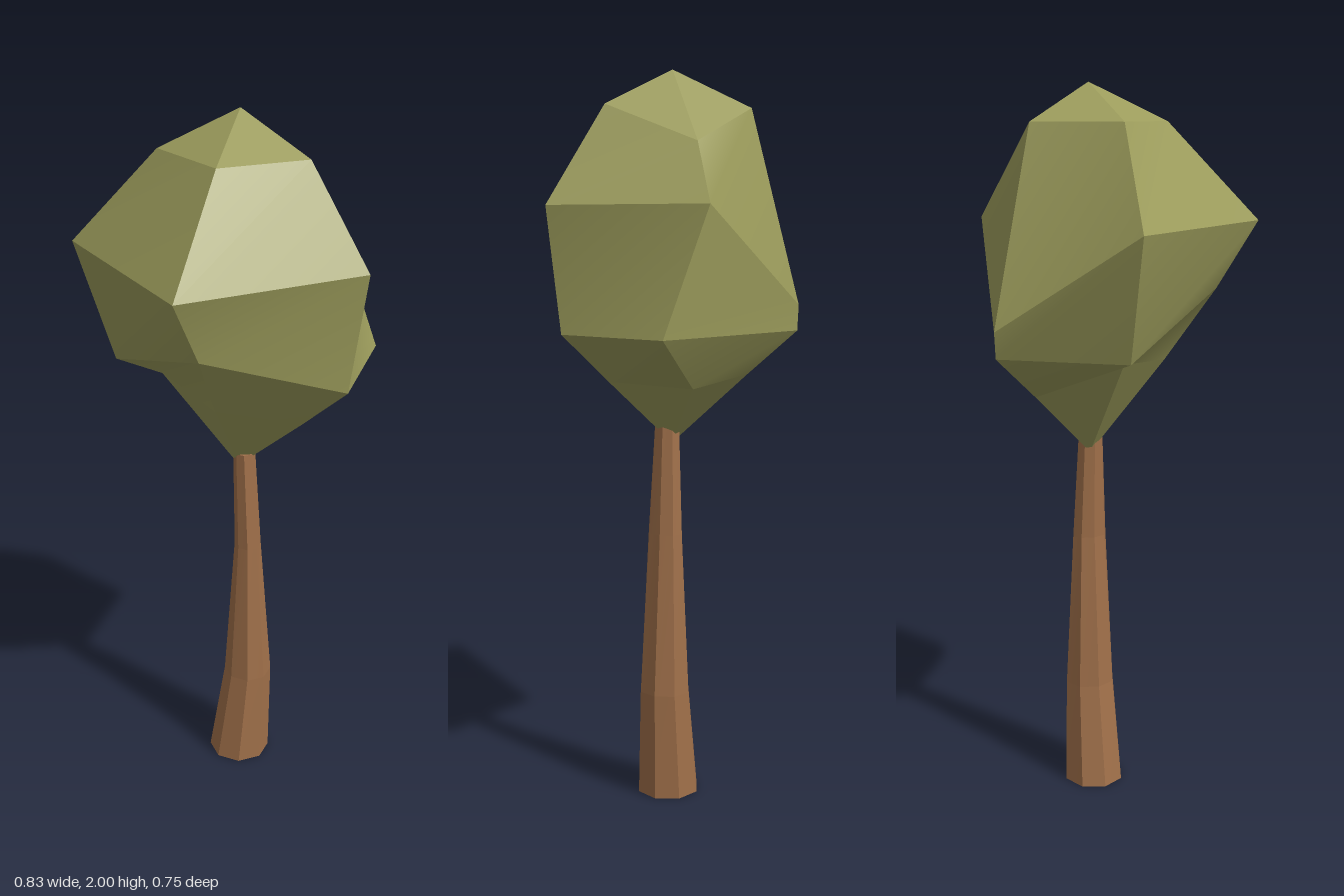
import * as THREE from 'three';

// Skins a stack of rings (top to bottom). Each facet owns its corners, so the
// edges between facets stay sharp while a bent facet shades softly.
function loft(rings) {
  const positions = [], index = [];
  for (let i = 0; i < rings.length - 1; i++) {
    const upper = rings[i], lower = rings[i + 1], n = upper.length;
    for (let j = 0; j < n; j++) {
      const k = (j + 1) % n;
      const base = positions.length / 3;
      positions.push(...upper[j], ...lower[j], ...lower[k], ...upper[k]);
      // a ring collapsed to one point needs only one triangle per facet
      if (upper[j] !== upper[k]) index.push(base, base + 1, base + 3);
      if (lower[j] !== lower[k]) index.push(base + 1, base + 2, base + 3);
    }
  }
  const geometry = new THREE.BufferGeometry();
  geometry.setAttribute('position', new THREE.Float32BufferAttribute(positions, 3));
  geometry.setIndex(index);
  geometry.computeVertexNormals();
  return geometry;
}

const pole = (point, sides) => Array(sides).fill(point);

function part(name, geometry, color) {
  const mesh = new THREE.Mesh(geometry, new THREE.MeshStandardMaterial({ color }));
  mesh.name = name;
  return mesh;
}

// Irregular five-sided crown; each ring runs left, front, right, back right, back
function createCrown() {
  return part('crown', loft([
    pole([0.03, 2, -0.06], 5),
    [[-0.18, 1.9, -0.05], [-0.025, 1.9, 0.145], [0.205, 1.9, 0.055], [0.195, 1.8, -0.2], [-0.05, 1.9, -0.255]],
    [[-0.415, 1.64, -0.105], [-0.12, 1.64, 0.375], [0.355, 1.64, 0.15], [0.295, 1.64, -0.275], [-0.1, 1.38, -0.378]],
    [[-0.31, 1.31, -0.09], [-0.065, 1.455, 0.28], [0.315, 1.31, 0.13], [0.413, 1.31, -0.2], [-0.1, 1.31, -0.375]],
    [[-0.18, 1.285, -0.05], [-0.03, 1.26, 0.14], [0.2, 1.18, 0.05], [0.195, 1.17, -0.19], [-0.05, 1.19, -0.25]],
    pole([0.03, 1, -0.06], 5),
  ]), 0x9b9b5b);
}

// Slightly bent, tapering eight-sided trunk
function createTrunk() {
  const sides = 8;
  // height, centre x, radius along x, radius along z
  const levels = [
    [1.05, 0.045, 0.031, 0.036],
    [0.75, 0.057, 0.038, 0.05],
    [0.3, 0.06, 0.07, 0.073],
    [0, 0.035, 0.091, 0.088],
  ];
  const rings = levels.map(([y, x, rx, rz]) =>
    Array.from({ length: sides }, (_, j) => {
      const angle = (j / sides) * Math.PI * 2;
      return [x + rx * Math.sin(angle), y, -0.052 + rz * Math.cos(angle)];
    }));
  return part('trunk', loft([
    pole([0.045, 1.05, -0.052], sides),
    ...rings,
    pole([0.035, 0, -0.052], sides),
  ]), 0xa0704a);
}

export function createModel() {
  const tree = new THREE.Group();
  tree.name = 'tree';
  tree.add(createTrunk(), createCrown());
  return tree;
}
